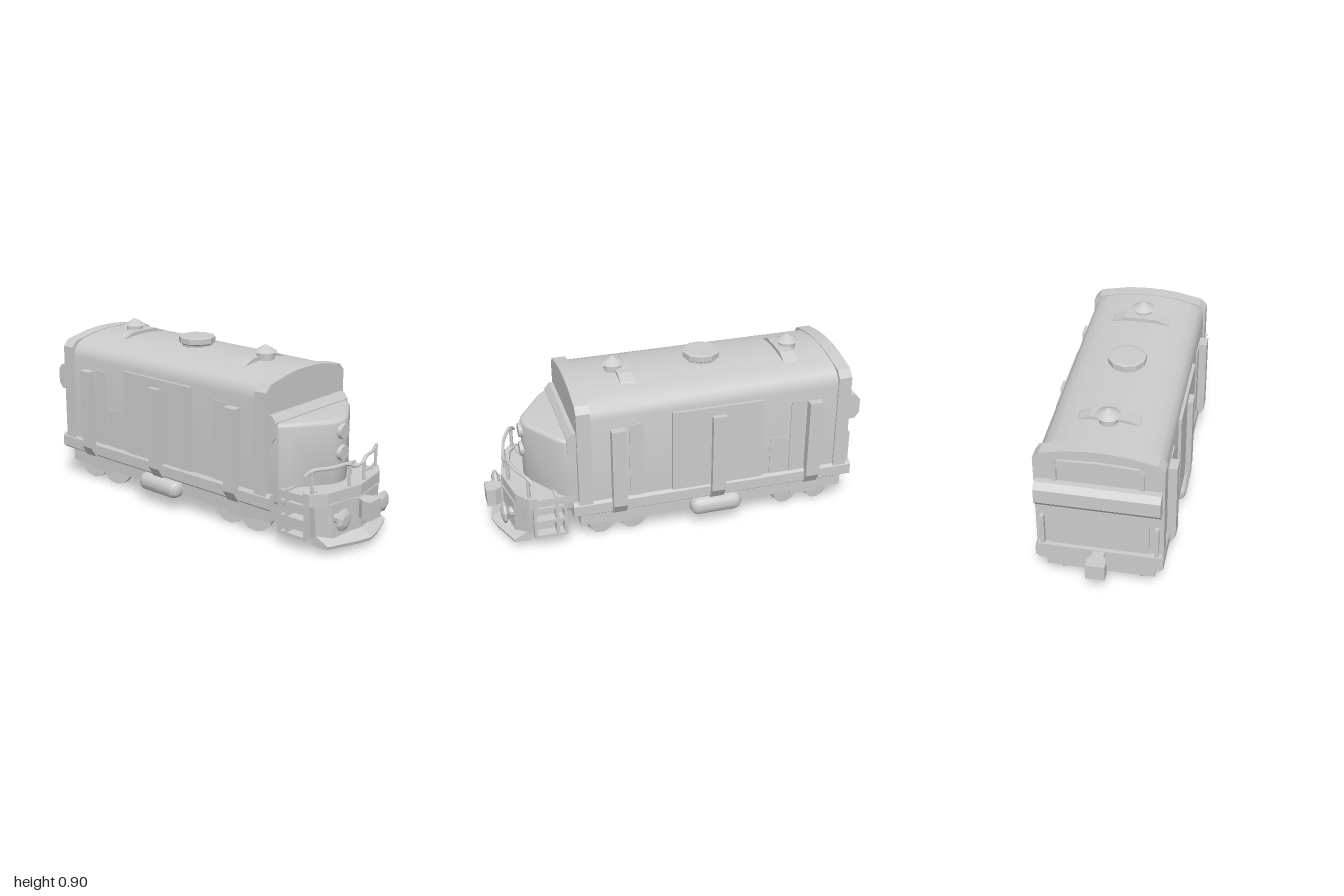
import * as THREE from 'three';
import { toCreasedNormals, mergeVertices } from 'three/addons/utils/BufferGeometryUtils.js';
import { RoundedBoxGeometry } from 'three/addons/geometries/RoundedBoxGeometry.js';

export function createModel() {
  const root = new THREE.Group();
  root.name = 'locomotive';
  const mat = new THREE.MeshStandardMaterial({ color: 0xcccccc });

  const add = (name, geo, crease = 0.6) => {
    const mesh = new THREE.Mesh(toCreasedNormals(geo, crease), mat);
    mesh.name = name;
    root.add(mesh);
    return mesh;
  };
  const shapeOf = pts => new THREE.Shape(pts.map(([a, b]) => new THREE.Vector2(a, b)));
  const extrude = (pts, depth, opts = {}) =>
    new THREE.ExtrudeGeometry(shapeOf(pts), { depth, bevelEnabled: false, ...opts });
  // right half of an outline, mirrored to the left
  const mirror = half => [...half, ...half.filter(p => p[0] > 0).reverse().map(([x, y]) => [-x, y])];
  // outline in (x, y), running from z0 to z1
  const alongZ = (pts, z0, z1) => extrude(pts, z1 - z0).translate(0, 0, z0);
  // outline in (x, z), running from y0 to y1
  const alongY = (pts, y0, y1, opts) =>
    extrude(pts.map(([x, z]) => [x, -z]), y1 - y0, opts).rotateX(-Math.PI / 2).translate(0, y0, 0);
  // outline in (z, y), running from x0 to x1
  const alongX = (pts, x0, x1, opts) =>
    extrude(pts, x1 - x0, opts).rotateY(-Math.PI / 2).translate(x1, 0, 0);
  const box = (name, x0, x1, y0, y1, z0, z1) => add(name,
    new THREE.BoxGeometry(x1 - x0, y1 - y0, z1 - z0)
      .translate((x0 + x1) / 2, (y0 + y1) / 2, (z0 + z1) / 2));
  // box given on the left side and repeated on the right
  const boxPair = (name, x0, x1, ...rest) => {
    box(name + 'Left', x0, x1, ...rest);
    box(name + 'Right', -x1, -x0, ...rest);
  };

  // --- body shell and end frames ---
  add('bodyShell', alongZ(mirror([[0.297, 0.2], [0.297, 0.71], [0.29, 0.745], [0.265, 0.775],
    [0.22, 0.795], [0.15, 0.81], [0.075, 0.82], [0, 0.823]]), -0.82, 0.52));
  const frame = mirror([[0.307, 0.2], [0.307, 0.755], [0.275, 0.79], [0.14, 0.817], [0.06, 0.825], [0, 0.826]]);
  add('frontEndFrame', alongZ(frame, 0.5, 0.57), 0.3);
  add('rearEndFrame', alongZ(frame, -0.87, -0.8), 0.3);

  // --- chassis ---
  add('sill', alongZ(mirror([[0.29, 0.165], [0.31, 0.18], [0.31, 0.235], [0.3, 0.25], [0, 0.25]]), -0.9, 0.6), 0.2);
  box('underframe', -0.265, 0.265, 0.09, 0.17, -0.865, 0.56);

  // --- side doors, ribs and pinched straps ---
  boxPair('sideDoor', 0.28, 0.312, 0.25, 0.695, -0.395, 0.085);
  const rib = [[0.28, 0.165], [0.305, 0.165], [0.34, 0.22], [0.34, 0.65], [0.28, 0.65]];
  for (const z of [0.365, -0.155, -0.672]) {
    for (const s of [1, -1]) {
      add('sideRib', alongZ(rib.map(([x, y]) => [s * x, y]), z - 0.036, z + 0.036), 0.2);
    }
  }
  for (const z of [0.27, -0.585]) boxPair('wallStrap', 0.28, 0.303, 0.25, 0.66, z - 0.036, z + 0.036);
  boxPair('wallPanel', 0.28, 0.301, 0.25, 0.46, -0.53, -0.44);

  // --- roof saddles, stacks and central vent ---
  const saddle = mirror([[0.175, 0.79], [0.145, 0.815], [0.09, 0.838], [0, 0.842]]);
  for (const [z, zs] of [[0.31, 0.27], [-0.625, -0.59]]) {
    add('roofSaddle', alongZ(saddle, zs - 0.037, zs + 0.037), 0.2);
    add('stack', new THREE.CylinderGeometry(0.045, 0.045, 0.06, 20).translate(0, 0.84, z));
    add('stackCap', new THREE.ConeGeometry(0.06, 0.037, 20).translate(0, 0.88, z));
  }
  add('roofVent', new THREE.LatheGeometry([[0, 0.815], [0.08, 0.815], [0.08, 0.83], [0.097, 0.84],
    [0.097, 0.868], [0.085, 0.872], [0, 0.872]].map(p => new THREE.Vector2(...p)), 10)
    .translate(0, 0, -0.155), 0.2);

  // --- nose hood: pointed plan, rounded rim, roof rising towards the cab ---
  const nose = alongY([[0.26, 0.56], [0.26, 0.62], [0.235, 0.645], [0.05, 0.765], [0.02, 0.775],
    [-0.02, 0.775], [-0.05, 0.765], [-0.235, 0.645], [-0.26, 0.62], [-0.26, 0.56]], 0.22, 0.587,
  { bevelEnabled: true, bevelSize: 0.02, bevelThickness: 0.02, bevelSegments: 4 });
  const np = nose.attributes.position;
  for (let i = 0; i < np.count; i++) {
    if (np.getY(i) > 0.5) np.setY(i, np.getY(i) + (0.79 - np.getZ(i)) * 0.06 * (1 - Math.abs(np.getX(i)) / 0.35));
  }
  add('noseHood', nose, 0.7);
  for (const y of [0.548, 0.44]) {
    add('headlight', new THREE.CylinderGeometry(0.036, 0.045, 0.035, 20)
      .rotateX(Math.PI / 2).translate(0, y, 0.793), 0.9);
  }

  // --- bumper bars across both cab ends ---
  const bar = [[0, 0.645], [0.03, 0.645], [0.055, 0.615], [0.055, 0.54], [0.03, 0.508], [0, 0.508]];
  add('frontCrossbar', alongX(bar.map(([z, y]) => [0.56 + z, y]), -0.288, 0.288), 0.2);
  add('rearCrossbar', alongX(bar.map(([z, y]) => [-0.875 - z, y]), -0.297, 0.297), 0.2);

  // --- rear wall: raised window frame, lower door panel and posts ---
  const rearWindow = shapeOf(mirror([[0.215, 0.62], [0.215, 0.735], [0.19, 0.765], [0, 0.775]]));
  rearWindow.holes.push(new THREE.Path(mirror([[0.195, 0.63], [0.195, 0.725], [0.178, 0.748], [0, 0.757]])
    .map(p => new THREE.Vector2(...p))));
  add('rearWindowFrame', new THREE.ExtrudeGeometry(rearWindow, { depth: 0.02, bevelEnabled: false })
    .translate(0, 0, -0.885), 0.3);
  box('rearPanel', -0.24, 0.24, 0.25, 0.52, -0.878, -0.86);
  boxPair('rearPost', 0.265, 0.285, 0.25, 0.42, -0.893, -0.865);

  // --- front deck, steps and pilot ---
  add('frontDeck', alongY(mirror([[0.28, 0.58], [0.28, 0.81], [0, 0.89]]), 0.25, 0.29), 0.2);
  const bowed = (w, z0, z1, z2, t) => [[w, z0], [0.75 * w, z1], [0, z2], [-0.75 * w, z1], [-w, z0],
    [-w, z0 - t], [-0.75 * w, z1 - t], [0, z2 - t], [0.75 * w, z1 - t], [w, z0 - t]];
  add('pilotBand', alongY(bowed(0.285, 0.82, 0.875, 0.915, 0.04), 0.245, 0.306), 0.2);
  const pilot = alongY(bowed(0.26, 0.83, 0.885, 0.92, 0.04), 0.07, 0.25);
  const pp = pilot.attributes.position;
  for (let i = 0; i < pp.count; i++) {
    if (pp.getY(i) < 0.1) pp.setX(i, pp.getX(i) * 0.92);
  }
  add('pilotPlate', pilot, 0.2);
  // plow blade swept back from the centre
  const plow = alongX([[0.885, 0.105], [0.985, 0.052], [0.98, 0.036], [0.9, 0.036], [0.86, 0.09]],
    -0.24, 0.24, { steps: 6 });
  const bp = plow.attributes.position;
  for (let i = 0; i < bp.count; i++) bp.setZ(i, bp.getZ(i) - Math.max(0, Math.abs(bp.getX(i)) - 0.03) * 0.4);
  add('plowBlade', plow, 0.2);

  boxPair('stepBackPlate', 0.2, 0.225, 0.065, 0.26, 0.63, 0.8);
  boxPair('stepFrontPost', 0.2, 0.28, 0.065, 0.3, 0.785, 0.8);
  boxPair('stepMiddlePost', 0.2, 0.28, 0.065, 0.3, 0.672, 0.687);
  boxPair('stepRearPost', 0.2, 0.28, 0.065, 0.25, 0.63, 0.645);
  for (const y of [0.065, 0.15, 0.225]) boxPair('stepTread', 0.2, 0.28, y, y + 0.015, 0.63, 0.8);

  // --- handrail ---
  const railHalf = [[0.29, 0.395, 0.795], [0.265, 0.418, 0.815], [0.17, 0.42, 0.86], [0.07, 0.42, 0.885], [0.04, 0.404, 0.893]];
  const railPts = [...railHalf, [0, 0.4, 0.897], ...railHalf.map(([x, y, z]) => [-x, y, z]).reverse()];
  add('handrail', new THREE.TubeGeometry(
    new THREE.CatmullRomCurve3(railPts.map(p => new THREE.Vector3(...p))), 48, 0.009, 6));
  for (const s of [1, -1]) {
    for (const [x, z] of [[0.262, 0.815], [0.06, 0.885]]) {
      add('railPost', new THREE.CylinderGeometry(0.009, 0.009, 0.13, 6).translate(s * x, 0.35, z));
    }
  }

  // --- buffers and couplers ---
  const bufferProfile = [[0, -0.09], [0.025, -0.09], [0.025, -0.03], [0.055, -0.01], [0.055, 0], [0.03, 0.012], [0, 0.014]]
    .map(p => new THREE.Vector2(...p));
  for (const s of [1, -1]) {
    add('buffer', new THREE.LatheGeometry(bufferProfile, 8).rotateY(Math.PI / 8)
      .rotateX(Math.PI / 2).translate(s * 0.16, 0.175, 0.935), 0.3);
  }
  const coupler = mirror([[0.047, 1], [0.047, 0.955], [0.028, 0.925], [0.028, 0.86], [0, 0.86]]);
  add('frontCoupler', alongY(coupler, 0.15, 0.245), 0.2);
  add('rearCoupler', alongY(coupler.map(([x, z]) => [x, -z]), 0.16, 0.245), 0.2);

  // --- wheels, axles and bogies ---
  for (const [za, zb] of [[0.44, 0.27], [-0.57, -0.75]]) {
    const mid = (za + zb) / 2;
    for (const z of [za, zb]) {
      add('axle', new THREE.CylinderGeometry(0.045, 0.045, 0.38, 8).rotateZ(Math.PI / 2).translate(0, 0.085, z), 0.2);
      for (const s of [1, -1]) {
        add('wheel', new THREE.CylinderGeometry(0.084, 0.084, 0.05, 12).rotateX(Math.PI / 12)
          .rotateZ(Math.PI / 2).translate(s * 0.195, 0.083, z), 0.2);
      }
    }
    boxPair('bogieBeam', 0.19, 0.25, 0.065, 0.1, mid - 0.07, mid + 0.07);
  }

  // --- side tanks ---
  for (const s of [1, -1]) {
    add('sideTank', new RoundedBoxGeometry(0.1, 0.096, 0.275, 4, 0.042)
      .translate(s * 0.28, 0.116, -0.155), 0.8);
  }
  return root;
}
